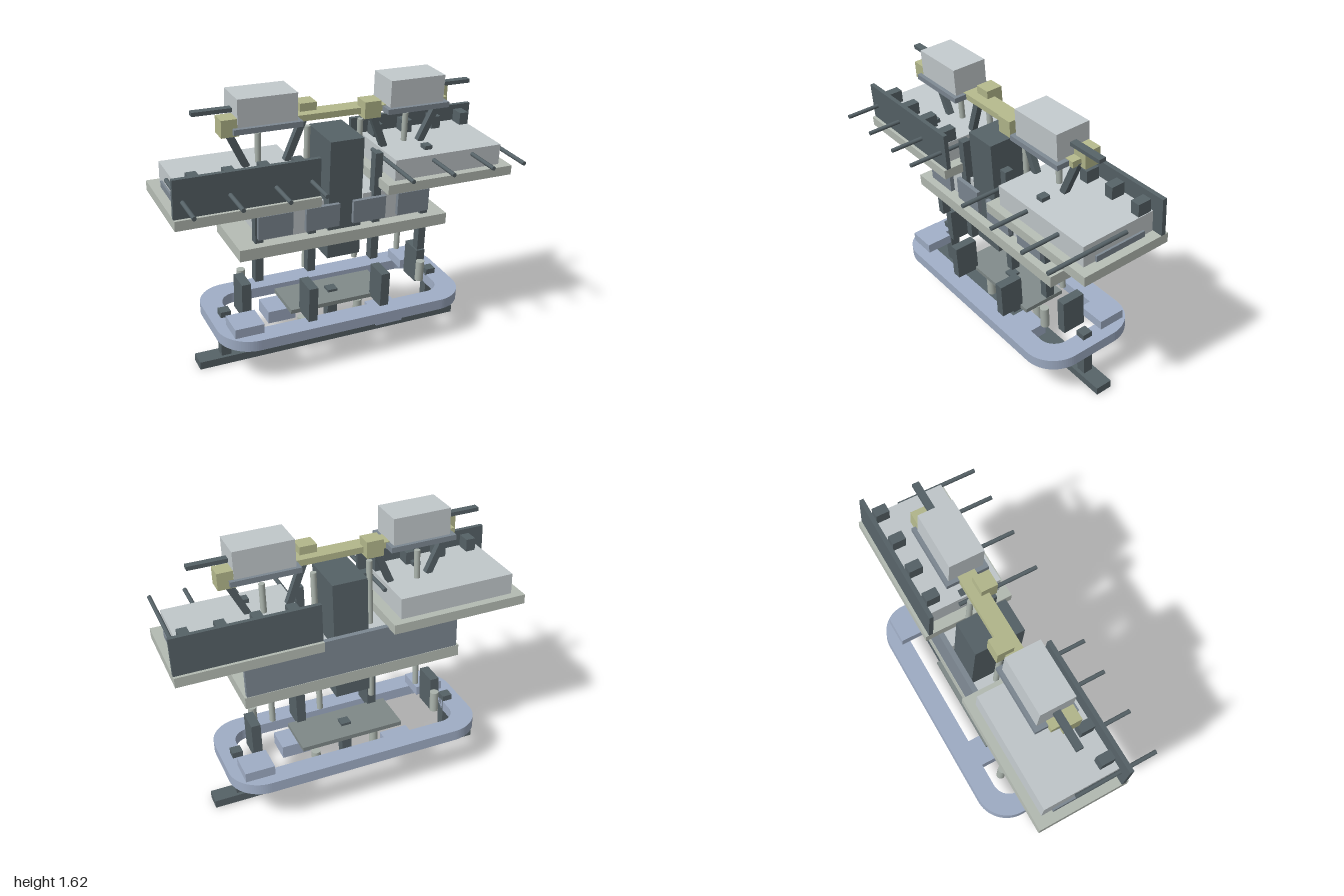
import * as THREE from 'three';

const mat = (color) => new THREE.MeshStandardMaterial({ color, side: THREE.DoubleSide });
const DARK = mat(0x566267), LIGHT = mat(0xc2c9cc), BLUE = mat(0xa0aec6), OLIVE = mat(0xb4b88c);
const GREY = mat(0x7d8892), DECK = mat(0xb5bcb4), TUBE = mat(0xaab3ac), SLAB = mat(0x808a89);

function roundedRect(path, hx, hy, r) {
  path.moveTo(hx, -hy + r);
  path.lineTo(hx, hy - r);
  path.absarc(hx - r, hy - r, r, 0, Math.PI / 2);
  path.lineTo(-hx + r, hy);
  path.absarc(-hx + r, hy - r, r, Math.PI / 2, Math.PI);
  path.lineTo(-hx, -hy + r);
  path.absarc(-hx + r, -hy + r, r, Math.PI, Math.PI * 1.5);
  path.lineTo(hx - r, -hy);
  path.absarc(hx - r, -hy + r, r, Math.PI * 1.5, Math.PI * 2);
  return path;
}

export function createModel() {
  const model = new THREE.Group();
  model.name = 'machine';
  // the whole stack leans slightly forward
  const body = new THREE.Group();
  body.name = 'tiltedBody';
  body.rotation.x = 0.0786;
  body.position.set(0, 0, -0.115);
  model.add(body);

  const add = (name, geometry, material) => {
    const mesh = new THREE.Mesh(geometry, material);
    mesh.name = name;
    body.add(mesh);
    return mesh;
  };
  // box given by its lower and upper limits on each axis
  const box = (name, material, x0, x1, y0, y1, z0, z1) => {
    const mesh = add(name, new THREE.BoxGeometry(Math.abs(x1 - x0), y1 - y0, Math.abs(z1 - z0)), material);
    mesh.position.set((x0 + x1) / 2, (y0 + y1) / 2, (z0 + z1) / 2);
    return mesh;
  };
  const tube = (name, x, z, y0, y1, r) => {
    const mesh = add(name, new THREE.CylinderGeometry(r, r, y1 - y0, 20), TUBE);
    mesh.position.set(x, (y0 + y1) / 2, z);
  };
  // square bar between two points in the plane z = 0
  const strut = (name, ax, ay, bx, by) => {
    const mesh = add(name, new THREE.BoxGeometry(0.038, Math.hypot(bx - ax, by - ay), 0.036), DARK);
    mesh.position.set((ax + bx) / 2, (ay + by) / 2, 0);
    mesh.rotation.z = Math.atan2(ax - bx, by - ay);
  };

  // base rail and its posts
  box('baseRail', DARK, -0.83, 0.83, 0.004, 0.051, -0.05, 0.05);
  for (const x of [-0.665, 0, 0.665]) box('basePost', DARK, x - 0.03, x + 0.03, 0.051, 0.34, -0.03, 0.03);

  // rounded ring
  const outline = roundedRect(new THREE.Shape(), 0.755, 0.325, 0.19);
  outline.holes.push(roundedRect(new THREE.Path(), 0.635, 0.205, 0.1));
  const ringGeometry = new THREE.ExtrudeGeometry(outline, { depth: 0.064, bevelEnabled: false, curveSegments: 12 });
  ringGeometry.rotateX(-Math.PI / 2);
  add('ring', ringGeometry, BLUE).position.y = 0.242;
  box('ringCentrePlate', SLAB, -0.308, 0.308, 0.3, 0.325, -0.13, 0.13);

  // central column and middle deck
  box('centralColumn', DARK, -0.1, 0.1, 0.63, 1.33, -0.147, 0.147);
  box('middleDeck', DECK, -0.633, 0.633, 0.737, 0.805, -0.193, 0.193);
  box('rearPanel', GREY, -0.62, 0.62, 0.805, 1.03, -0.19, -0.16);

  // beam across the top
  box('topBeam', OLIVE, -0.66, 0.66, 1.43, 1.465, -0.05, 0.05);

  for (const s of [-1, 1]) {
    // parts on and under the ring, arranged with half-turn symmetry
    box('ringTopBlock', BLUE, s * 0.52, s * 0.69, 0.306, 0.362, s * -0.26, s * -0.1);
    box('ringUnderBlock', BLUE, s * 0.205, s * 0.375, 0.145, 0.222, s * 0.05, s * 0.21);
    tube('lowerTube', s * 0.197, s * -0.03, 0.07, 0.2, 0.027);
    tube('ringTube', s * 0.51, s * 0.15, 0.365, 0.49, 0.025);
    box('frontRingPost', DARK, s * 0.198, s * 0.252, 0.305, 0.515, 0.113, 0.253);
    box('sideRingPost', DARK, s * 0.528, s * 0.582, 0.305, 0.515, -0.067, 0.073);

    // middle storey
    box('middleBlock', LIGHT, s * 0.12, s * 0.485, 0.805, 0.985, -0.155, 0.122);
    for (const x of [0.142, 0.42])
      box('frontPanel', GREY, s * (x - 0.1), s * (x + 0.1), 0.835, 0.97, 0.145, 0.17);
    for (const x of [0.197, 0.507])
      box('frameColumn', DARK, s * (x - 0.023), s * (x + 0.023), 0.57, 1.225, 0.095, 0.147);
    for (const x of [0.16, 0.445]) tube('guideRod', s * x, -0.032, 0.5, 1.37, 0.017);

    // upper deck with its block and wall
    box('upperDeck', DECK, s * 0.2, s, 1.024, 1.08, -0.268, 0.268);
    box('upperBlock', LIGHT, s * 0.262, s * 0.938, 1.08, 1.202, -0.222, 0.222);
    box('sideSill', GREY, s * 0.938, s * 0.95, 1.08, 1.115, -0.16, 0.15);
    box('deckWall', DARK, s * 0.2, s, 1.08, 1.296, s * -0.25, s * -0.225);
    for (let i = 0; i < 4; i++) {
      const x = s * 0.6 - 0.27 + i * 0.192;
      box('deckCleat', DARK, x - 0.028, x + 0.028, 1.202, 1.275, s * -0.21, s * -0.13);
    }
    for (const dx of [-0.35, -0.1, 0.15, 0.35]) {
      const peg = add('frontPeg', new THREE.CylinderGeometry(0.012, 0.012, 0.485, 12), DARK);
      peg.rotation.x = Math.PI / 2;
      peg.position.set(s * 0.6 + dx, 1.17, 0.203);
    }

    // head assembly: struts, joints, tray, box and side bar
    strut('innerStrut', s * 0.295, 1.2, s * 0.195, 1.445);
    strut('outerStrut', s * 0.525, 1.2, s * 0.645, 1.445);
    box('innerJoint', OLIVE, s * 0.12, s * 0.217, 1.415, 1.51, s * 0.003, s * 0.098);
    box('outerJoint', OLIVE, s * 0.596, s * 0.692, 1.415, 1.51, s * -0.098, s * -0.003);
    box('headTray', GREY, s * 0.25, s * 0.632, 1.431, 1.461, -0.123, 0.123);
    box('headBox', LIGHT, s * 0.273, s * 0.605, 1.461, 1.613, -0.102, 0.1);
    box('sideBar', DARK, s * 0.56, s * 0.82, 1.52, 1.542, -0.02, 0.02);
  }
  return model;
}
